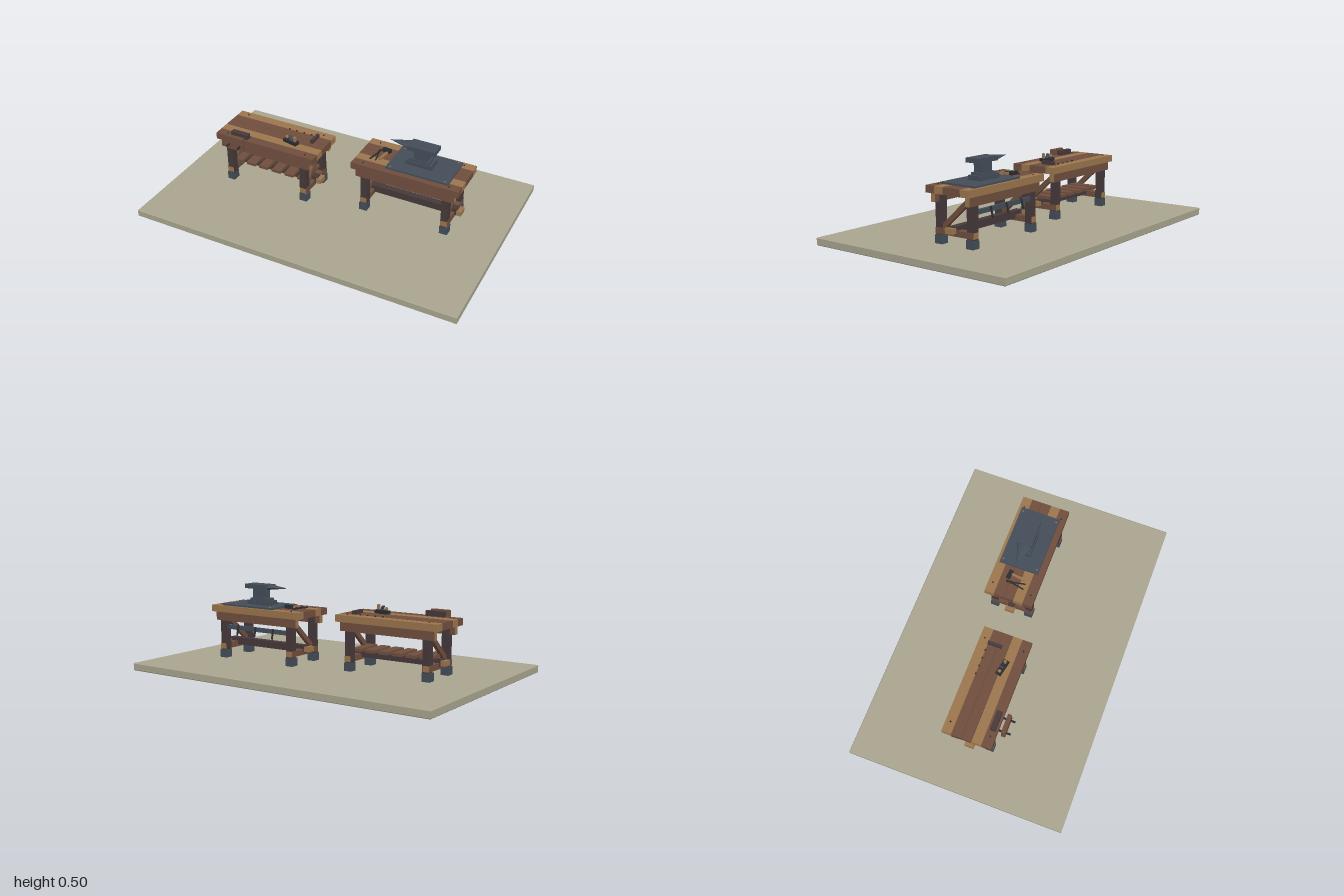
import * as THREE from 'three';

const mat = (name, color) => new THREE.MeshStandardMaterial({ name, color });

export function createModel() {
  const stone = mat('stone', 0xa9a58f);
  const brown = mat('brownWood', 0x704f3e);
  const light = mat('lightWood', 0x9b764d);
  const dark = mat('darkWood', 0x46393a);
  const slate = mat('slateSteel', 0x434d58);
  const iron = mat('darkIron', 0x2b2d31);

  const model = new THREE.Group();
  model.name = 'workshop';

  const add = (parent, name, geo, material, x, y, z) => {
    const m = new THREE.Mesh(geo, material);
    m.name = name;
    m.position.set(x, y, z);
    parent.add(m);
    return m;
  };
  // Box given by its size and centre
  const box = (parent, name, material, w, h, d, x, y, z) =>
    add(parent, name, new THREE.BoxGeometry(w, h, d), material, x, y, z);
  const rod = (parent, name, material, r, len, x, y, z, axis = 'y') => {
    const g = new THREE.CylinderGeometry(r, r, len, 8);
    if (axis === 'z') g.rotateX(Math.PI / 2);
    if (axis === 'x') g.rotateZ(Math.PI / 2);
    return add(parent, name, g, material, x, y, z);
  };
  const group = (parent, name, x, y, z, ry = 0) => {
    const g = new THREE.Group();
    g.name = name;
    g.position.set(x, y, z);
    g.rotation.y = ry;
    parent.add(g);
    return g;
  };
  // Lighter end grain on the x or z ends of a beam
  const endGrainX = [light, light, brown, brown, brown, brown];
  const endGrainZ = [brown, brown, brown, brown, light, light];

  // Ground slab with a small chamfered rim
  const rim = 0.004;
  const plan = new THREE.Shape([[-1, -0.655], [1, -0.655], [1, 0.655], [-1, 0.655]]
    .map(([x, z]) => new THREE.Vector2(x * (1 - rim), z - Math.sign(z) * rim)));
  const slab = new THREE.ExtrudeGeometry(plan, {
    depth: 0.045 - 2 * rim, bevelEnabled: true, bevelSegments: 1, bevelSize: rim, bevelThickness: rim,
  });
  slab.rotateX(-Math.PI / 2);
  add(model, 'groundSlab', slab, stone, 0, rim, 0);

  // Heavy timber bench shared by both work stations
  const makeBench = (name, x, z) => {
    const b = group(model, name, x, 0, z);
    const plankMats = [light, brown, brown, light, brown];
    plankMats.forEach((m, i) => {
      const pz = (i - 2) * 0.059;
      box(b, 'topPlank', m, 0.654, 0.04, 0.057, 0, 0.346, pz);
      for (const s of [-1, 1]) {
        if (i === 0 || i === 4) rod(b, 'plankNail', iron, 0.005, 0.004, s * 0.262, 0.367, pz);
      }
    });
    for (const s of [-1, 1]) {
      box(b, 'apron', endGrainX, 0.604, 0.052, 0.03, 0, 0.3, s * 0.118);
      box(b, 'endStretcher', endGrainZ, 0.042, 0.034, 0.262, s * 0.252, 0.116, 0);
      box(b, 'stretcherTenon', light, 0.03, 0.03, 0.055, s * 0.3, 0.134, 0);
      for (const t of [-1, 1]) {
        box(b, 'leg', dark, 0.04, 0.24, 0.045, s * 0.25, 0.207, t * 0.108);
        box(b, 'foot', slate, 0.048, 0.048, 0.05, s * 0.252, 0.069, t * 0.108);
      }
      const brace = box(b, 'diagonalBrace', brown, 0.022, 0.028, 0.245, s * 0.252, 0.215, 0);
      brace.rotation.x = 0.74;
    }
    box(b, 'longStretcher', dark, 0.58, 0.043, 0.04, 0, 0.134, 0);
    return b;
  };

  // Joiner's bench with slatted shelf
  const joiner = makeBench('joinerBench', -0.431, -0.002);
  for (let i = 0; i < 6; i++) {
    box(joiner, 'shelfSlat', brown, 0.06, 0.018, 0.18, (i - 2.5) * 0.088, 0.165, 0);
  }

  // Front vise
  const vise = group(joiner, 'vise', -0.172, 0, 0);
  box(vise, 'viseJaw', brown, 0.114, 0.084, 0.024, 0, 0.356, 0.179);
  box(vise, 'viseRearJaw', dark, 0.114, 0.03, 0.032, 0, 0.381, 0.119);
  for (const s of [-1, 1]) rod(vise, 'viseScrew', iron, 0.006, 0.09, s * 0.037, 0.345, 0.172, 'z');

  // Hand plane
  const plane = group(joiner, 'handPlane', 0.128, 0.366, 0.04, -0.2);
  box(plane, 'planeBody', iron, 0.095, 0.02, 0.034, 0, 0.01, 0);
  const blade = box(plane, 'planeBlade', slate, 0.006, 0.035, 0.022, 0, 0.03, 0);
  blade.rotation.z = 0.5;
  box(plane, 'planeHandle', light, 0.014, 0.032, 0.014, 0.03, 0.034, 0);
  add(plane, 'planeKnob', new THREE.SphereGeometry(0.011, 8, 6), light, -0.03, 0.03, 0);

  // Mallet block and row of pegs along the back
  box(joiner, 'benchStop', dark, 0.018, 0.022, 0.085, 0.24, 0.377, -0.048);
  for (let i = 0; i < 4; i++) {
    rod(joiner, 'benchPeg', iron, 0.005, 0.008, 0.045 + i * 0.05, 0.368, -0.088);
  }

  // Smith's bench with steel plate
  const smith = makeBench('smithBench', 0.429, -0.082);
  box(smith, 'steelPlate', slate, 0.38, 0.01, 0.24, 0.063, 0.371, -0.008);
  for (const s of [-1, 1]) {
    for (const t of [-1, 1]) {
      rod(smith, 'plateRivet', light, 0.005, 0.004, 0.063 + s * 0.165, 0.377, -0.008 + t * 0.105);
    }
  }

  // Anvil
  const anvil = group(smith, 'anvil', 0.04, 0, -0.012);
  box(anvil, 'anvilBase', slate, 0.16, 0.026, 0.088, 0, 0.389, 0);
  box(anvil, 'anvilStep', slate, 0.125, 0.014, 0.075, 0, 0.408, 0);
  box(anvil, 'anvilWaist', slate, 0.082, 0.066, 0.06, 0.006, 0.445, 0);
  box(anvil, 'anvilFace', slate, 0.166, 0.026, 0.088, 0.013, 0.485, 0);
  const horn = new THREE.ConeGeometry(0.044, 0.125, 12).toNonIndexed();
  horn.rotateZ(Math.PI / 2);
  horn.scale(1, 0.34, 1);
  horn.computeVertexNormals();
  add(anvil, 'anvilHorn', horn, slate, -0.131, 0.483, 0);

  // Hammer
  const hammer = group(smith, 'hammer', -0.185, 0.375, -0.042, -0.12);
  box(hammer, 'hammerHead', iron, 0.05, 0.022, 0.022, 0, 0.006, 0);
  box(hammer, 'hammerHandle', light, 0.012, 0.012, 0.09, 0.008, -0.001, 0.05);

  // Tongs lying on the bench
  const tongs = group(smith, 'tongs', -0.226, 0.37, 0.008);
  for (const s of [-1, 1]) {
    const arm = box(tongs, 'tongsArm', iron, 0.006, 0.008, 0.115, s * 0.006, 0, 0);
    arm.rotation.y = s * 0.2;
  }
  rod(tongs, 'tongsPivot', iron, 0.007, 0.012, 0, 0.002, -0.028);

  // Tool rail on the back with hooks and a hanging bar
  box(smith, 'toolRail', slate, 0.45, 0.025, 0.018, -0.004, 0.237, -0.118);
  for (let i = -1; i <= 1; i++) {
    const hook = box(smith, 'railHook', iron, 0.008, 0.064, 0.008, i * 0.133 - 0.004, 0.225, -0.138);
    hook.rotation.x = 0.25;
  }

  return model;
}
